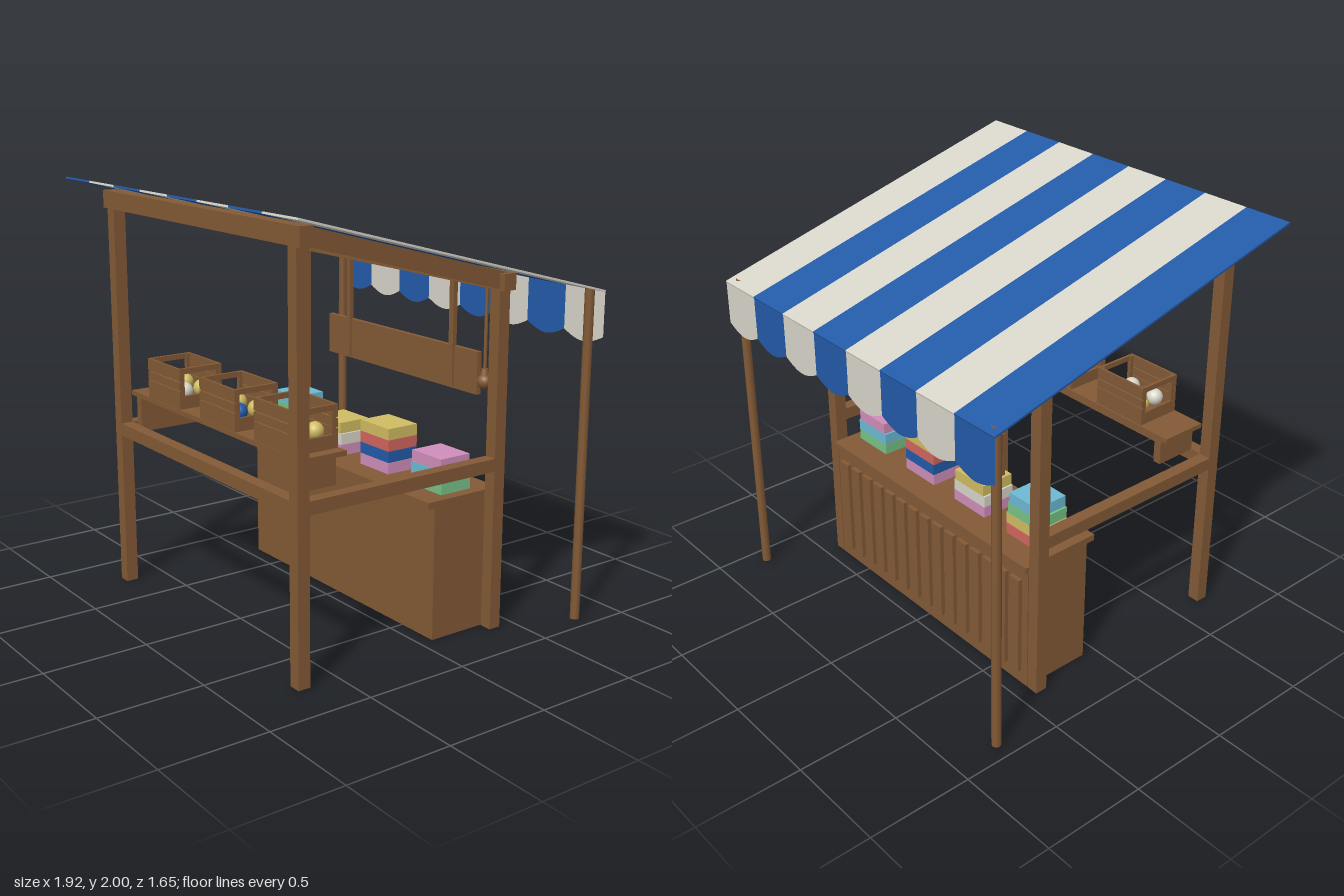
import * as THREE from 'three';

const mat = (name, color) => {
  const m = new THREE.MeshStandardMaterial({ color, side: THREE.DoubleSide });
  m.name = name;
  return m;
};

export function createModel() {
  const wood = mat('wood', 0x835a36);
  const blue = mat('blue cloth', 0x235aa8);
  const cream = mat('cream cloth', 0xd8d5c9);
  const red = mat('red', 0xd2655f);
  const yellow = mat('yellow', 0xd0bc62);
  const pink = mat('pink', 0xd08ebb);
  const green = mat('green', 0x78c288);
  const cyan = mat('cyan', 0x6dbad4);

  const stall = new THREE.Group();
  stall.name = 'marketStall';

  const add = (name, geo, material, x, y, z, parent = stall) => {
    const m = new THREE.Mesh(geo, material);
    m.name = name;
    m.position.set(x, y, z);
    parent.add(m);
    return m;
  };
  // Box given by its limits on each axis
  const box = (name, [x0, x1], [y0, y1], [z0, z1], material = wood, parent = stall) =>
    add(name, new THREE.BoxGeometry(x1 - x0, y1 - y0, z1 - z0), material,
      (x0 + x1) / 2, (y0 + y1) / 2, (z0 + z1) / 2, parent);
  const group = (name, x = 0, y = 0, z = 0) => {
    const g = new THREE.Group();
    g.name = name;
    g.position.set(x, y, z);
    stall.add(g);
    return g;
  };

  // Frame
  const slope = Math.atan(0.44 / 1.65);
  for (const s of [-1, 1]) {
    const across = [s * 0.75 - 0.03, s * 0.75 + 0.03];
    box('frontPost', across, [0, 1.86], [0.65, 0.71]);
    box('rearPost', across, [0, 1.58], [-0.42, -0.36]);
    box('sideRail', across, [0.76, 0.82], [-0.36, 0.65]);
    const rafter = add('rafter', new THREE.BoxGeometry(0.06, 0.077, 1.07 / Math.cos(slope)),
      wood, s * 0.75, 1.757, 0.13);
    rafter.rotation.x = -slope;
    add('awningPole', new THREE.CylinderGeometry(0.022, 0.022, 1.57, 8), wood,
      s * 0.915, 0.785, -0.772);
  }
  box('frontBeam', [-0.81, 0.81], [1.86, 1.943], [0.647, 0.715]);
  box('rearBeam', [-0.81, 0.81], [1.58, 1.655], [-0.425, -0.357]);
  box('frontRail', [-0.72, 0.72], [0.76, 0.82], [0.65, 0.71]);

  // Striped awning with a scalloped valance along the low rear edge
  const width = 0.2406;
  for (let i = 0; i < 8; i++) {
    const material = i % 2 ? cream : blue;
    const x = -0.9625 + (i + 0.5) * width;
    const stripe = add('awningStripe',
      new THREE.BoxGeometry(width, 0.009, 1.65 / Math.cos(slope)), material, x, 1.775, 0.003);
    stripe.rotation.x = -slope;

    const shape = new THREE.Shape();
    shape.moveTo(width / 2, 0);
    shape.lineTo(-width / 2, 0);
    for (let k = 0; k <= 12; k++) {
      const t = k / 12;
      shape.lineTo((t - 0.5) * width, -0.21 - 0.038 * Math.sin(t * Math.PI));
    }
    add('valance', new THREE.ShapeGeometry(shape), material, x, 1.557, -0.82);
  }

  // Counter with slatted back
  box('counterBody', [-0.715, 0.715], [0, 0.63], [-0.42, -0.07]);
  box('counterTop', [-0.72, 0.72], [0.63, 0.66], [-0.44, -0.03]);
  for (let i = 0; i < 15; i++) {
    const x = (i - 7) * 0.092;
    box('counterSlat', [x - 0.032, x + 0.032], [0.07, 0.57], [-0.44, -0.42]);
  }

  // Stacks of goods, listed from the bottom up
  const stacks = [
    [-0.56, [red, yellow, green, cyan]],
    [-0.19, [pink, cream, yellow]],
    [0.18, [pink, blue, red, yellow]],
    [0.56, [green, cyan, pink]],
  ];
  const halfWidths = [0.107, 0.108, 0.1, 0.09];
  stacks.forEach(([x, colours]) => {
    const stack = group('goodsStack', x, 0.66, -0.232);
    colours.forEach((c, i) => {
      const w = x === 0.18 ? 0.107 : halfWidths[i];
      box('foldedGoods', [-w, w], [i * 0.055, i * 0.055 + 0.054],
        [-0.085, 0.085], c, stack);
    });
  });

  // Front display shelf on two brackets
  box('displayShelf', [-0.715, 0.715], [0.957, 0.98], [0.415, 0.65]);
  for (const s of [-1, 1]) {
    box('shelfBracket', [s * 0.645 - 0.02, s * 0.645 + 0.02], [0.82, 0.957], [0.435, 0.65]);
  }

  // Slatted crates of round produce
  const crates = [[-0.4, cream, yellow], [0.07, blue, yellow], [0.515, red, yellow]];
  for (const [x, frontColour, rearColour] of crates) {
    const crate = group('crate', x, 0.98, 0.535);
    box('crateFloor', [-0.145, 0.145], [0, 0.015], [-0.105, 0.105], wood, crate);
    for (const s of [-1, 1]) {
      const z = [s * 0.107 - 0.006, s * 0.107 + 0.006];
      for (const y of [[0, 0.085], [0.09, 0.128], [0.134, 0.19]]) {
        box('crateSlat', [-0.147, 0.147], y, z, wood, crate);
      }
      const end = [s * 0.14 - 0.007, s * 0.14 + 0.007];
      box('crateEnd', end, [0, 0.06], [-0.1, 0.1], wood, crate);
      box('crateEndRail', end, [0.165, 0.19], [-0.1, 0.1], wood, crate);
      for (const t of [-1, 1]) {
        box('crateCorner', [s * 0.135 - 0.01, s * 0.135 + 0.01], [0, 0.188],
          [t * 0.095 - 0.01, t * 0.095 + 0.01], wood, crate);
        add('produce', new THREE.SphereGeometry(0.04, 16, 12),
          t > 0 ? frontColour : rearColour, s * 0.075, 0.068, t * 0.046, crate);
      }
    }
  }

  // Hanging board under the rear beam
  box('signBoard', [-0.57, 0.57], [1.06, 1.26], [-0.455, -0.43]);
  for (const s of [-1, 1]) {
    box('signHanger', [s * 0.395 - 0.015, s * 0.395 + 0.015], [1.07, 1.59], [-0.443, -0.42]);
  }

  // Hanging lamp
  add('lampCord', new THREE.CylinderGeometry(0.008, 0.008, 0.4, 8), wood, 0.665, 1.385, -0.39);
  add('lampCap', new THREE.CylinderGeometry(0.014, 0.022, 0.035, 10), wood, 0.665, 1.19, -0.39);
  add('lampBulb', new THREE.SphereGeometry(0.035, 16, 12), wood, 0.665, 1.148, -0.39);

  return stall;
}
